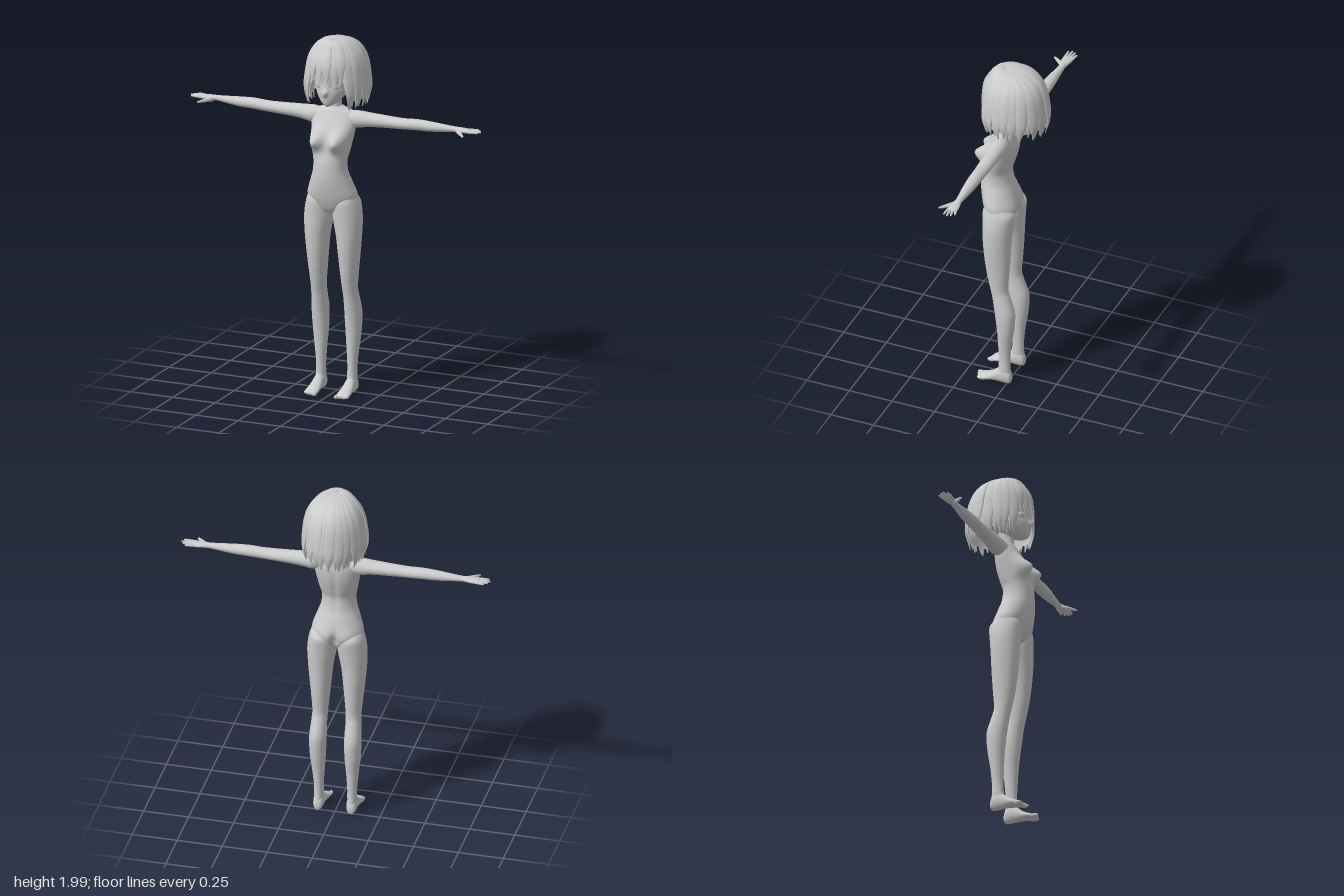
import * as THREE from 'three';

const skin = new THREE.MeshStandardMaterial({ color: 0xcccccc });
const thin = new THREE.MeshStandardMaterial({ color: 0xcccccc, side: THREE.DoubleSide });
const V = (x, y, z) => new THREE.Vector3(x, y, z);
const gauss = (d, w) => Math.exp(-(d * d) / (w * w));
const TAU = Math.PI * 2;

// Skins a list of closed rings; capped ends, faces turned outward.
function skinRings(rings, capped = true) {
  const n = rings[0].length, pos = [], idx = [];
  rings.forEach(r => r.forEach(p => pos.push(p.x, p.y, p.z)));
  for (let i = 0; i < rings.length - 1; i++) for (let j = 0; j < n; j++) {
    const a = i * n + j, b = i * n + (j + 1) % n;
    idx.push(a, b, a + n, b, b + n, a + n);
  }
  if (capped) [0, rings.length - 1].forEach(i => {
    const c = rings[i].reduce((s, p) => s.add(p), V(0, 0, 0)).divideScalar(n), k = pos.length / 3;
    pos.push(c.x, c.y, c.z);
    for (let j = 0; j < n; j++) {
      const a = i * n + j, b = i * n + (j + 1) % n;
      i ? idx.push(a, b, k) : idx.push(b, a, k);
    }
  });
  let volume = 0;
  const at = i => V(pos[3 * i], pos[3 * i + 1], pos[3 * i + 2]).sub(rings[0][0]);
  for (let i = 0; i < idx.length; i += 3) volume += at(idx[i]).dot(at(idx[i + 1]).cross(at(idx[i + 2])));
  if (volume < 0) idx.reverse();
  const g = new THREE.BufferGeometry();
  g.setAttribute('position', new THREE.Float32BufferAttribute(pos, 3));
  g.setIndex(idx);
  g.computeVertexNormals();
  return g;
}

// Smooth loft through sections [t, aMin, aMax, bMin, bMax]; place(t, a, b) gives the point.
function loft(sections, place, sides = 32, steps = 6) {
  const abc = new THREE.CatmullRomCurve3(sections.map(s => V(s[0], s[1], s[2])));
  const de = new THREE.CatmullRomCurve3(sections.map(s => V(s[3], s[4], 0)));
  const rings = [], count = (sections.length - 1) * steps;
  for (let i = 0; i <= count; i++) {
    const p = abc.getPoint(i / count), q = de.getPoint(i / count), ring = [];
    for (let j = 0; j < sides; j++) {
      const c = Math.cos(j / sides * TAU), s = Math.sin(j / sides * TAU);
      ring.push(place(p.x, (p.y + p.z) / 2 + c * (p.z - p.y) / 2, (q.x + q.y) / 2 + s * (q.y - q.x) / 2));
    }
    rings.push(ring);
  }
  return skinRings(rings);
}

function add(group, name, geometry, material = skin) {
  const m = new THREE.Mesh(geometry, material);
  m.name = name;
  group.add(m);
  return m;
}

// Tapered rounded rod for fingers
function rod(from, to, r0, r1) {
  const dir = to.clone().sub(from), len = dir.length();
  const pts = [[0, 0], [r0, 0], [(r0 + r1) / 2, len * 0.5], [r1, len * 0.85], [r1 * 0.65, len * 0.96], [0, len]];
  const g = new THREE.LatheGeometry(pts.map(p => new THREE.Vector2(...p)), 10);
  g.applyQuaternion(new THREE.Quaternion().setFromUnitVectors(V(0, 1, 0), dir.normalize()));
  return g.translate(from.x, from.y, from.z);
}

function buildBody(root) {
  // Torso with soft chest, hip and spine contours
  const sym = ([y, w, b, f]) => [y, -w, w, b, f];
  add(root, 'torso', loft([
    [1.02, 0.03, 0.03, 0.10], [1.035, 0.075, 0, 0.125], [1.07, 0.125, -0.02, 0.145], [1.12, 0.142, -0.03, 0.163],
    [1.2, 0.118, -0.012, 0.18], [1.26, 0.098, 0.008, 0.184], [1.32, 0.094, 0.015, 0.18], [1.38, 0.106, 0, 0.165],
    [1.44, 0.117, -0.016, 0.155], [1.5, 0.126, -0.024, 0.135], [1.55, 0.128, -0.022, 0.105],
    [1.585, 0.112, -0.016, 0.085], [1.602, 0.065, -0.012, 0.075], [1.612, 0.034, -0.008, 0.068]].map(sym),
  (y, x, z) => {
    const ax = Math.abs(x);
    if (z > 0.07) z += 0.062 * gauss(ax - 0.066, 0.042) * gauss(y - 1.435, 0.05) * Math.min(1, (z - 0.07) / 0.04);
    else if (z < 0.05) {
      z += gauss(x, 0.016) * (0.025 * gauss(y - 1.08, 0.05) + 0.008 * gauss(y - 1.4, 0.15));
      z -= 0.012 * gauss(ax - 0.07, 0.045) * gauss(y - 1.09, 0.06);
    }
    return V(x, y, z);
  }, 64));
  add(root, 'neck', loft([[1.57, 0.045, -0.012, 0.072], [1.61, 0.034, -0.008, 0.068], [1.64, 0.033, -0.012, 0.068],
    [1.7, 0.04, -0.02, 0.08]].map(sym), (y, x, z) => V(x, y, z)));

  for (const s of [1, -1]) {
    const side = s > 0 ? 'left' : 'right';
    add(root, side + 'Leg', loft([
      [1.13, 0.03, 0.135, 0, 0.13], [1.08, 0.005, 0.153, -0.036, 0.145], [1.0, 0.004, 0.165, -0.028, 0.142],
      [0.9, 0.022, 0.162, -0.02, 0.138], [0.8, 0.033, 0.153, -0.016, 0.13], [0.7, 0.042, 0.143, -0.01, 0.117],
      [0.6, 0.05, 0.135, -0.004, 0.096], [0.55, 0.052, 0.137, -0.018, 0.084], [0.45, 0.05, 0.144, -0.046, 0.068],
      [0.35, 0.053, 0.14, -0.04, 0.056], [0.25, 0.06, 0.129, -0.025, 0.05], [0.15, 0.066, 0.119, -0.017, 0.047],
      [0.09, 0.066, 0.119, -0.018, 0.05], [0.04, 0.07, 0.116, -0.018, 0.05]], (y, x, z) => V(s * x, y, z)));
    add(root, side + 'Foot', loft([
      [-0.026, 0.083, 0.103, 0.02, 0.045], [-0.018, 0.07, 0.115, 0.004, 0.075], [0.01, 0.063, 0.121, 0, 0.105],
      [0.05, 0.063, 0.122, 0.002, 0.088], [0.09, 0.059, 0.127, 0.004, 0.055], [0.13, 0.055, 0.131, 0, 0.036],
      [0.155, 0.057, 0.13, 0, 0.026], [0.165, 0.065, 0.122, 0.005, 0.018]], (z, x, y) => V(s * x, y, z)));
    // Toes, big one inward
    [0.064, 0.081, 0.096, 0.109, 0.121].forEach((x, i) => {
      const toe = add(root, side + 'Toe', new THREE.SphereGeometry(1, 12, 8));
      toe.scale.set(i ? 0.008 : 0.011, i ? 0.009 : 0.011, 0.022);
      toe.position.set(s * x, 0.011, 0.163 - i * 0.006);
    });
    add(root, side + 'Arm', loft([
      [0.07, 1.53, 1.585, 0, 0.07], [0.12, 1.502, 1.596, -0.016, 0.08], [0.2, 1.513, 1.592, -0.015, 0.073],
      [0.3, 1.52, 1.587, -0.012, 0.068], [0.4, 1.524, 1.584, -0.009, 0.063], [0.48, 1.528, 1.588, -0.01, 0.06],
      [0.56, 1.53, 1.585, -0.006, 0.055], [0.64, 1.538, 1.579, 0, 0.046], [0.7, 1.545, 1.575, 0.003, 0.04],
      [0.73, 1.546, 1.574, -0.002, 0.047], [0.77, 1.547, 1.571, -0.008, 0.052], [0.795, 1.55, 1.568, -0.006, 0.05],
      [0.803, 1.554, 1.564, 0, 0.044]], (x, y, z) => V(s * x, y, z)));
    // Fingers from little (back) to index (front), then the thumb
    [[0.832, -0.012], [0.85, 0.006], [0.86, 0.025], [0.85, 0.046]].forEach(([x, z], i) =>
      add(root, side + 'Finger', rod(V(s * 0.78, 1.559, 0.001 + i * 0.014), V(s * x, 1.561, z), 0.0085, 0.0058)));
    add(root, side + 'Thumb', rod(V(s * 0.725, 1.555, 0.033), V(s * 0.787, 1.547, 0.104), 0.014, 0.0065));
  }
}

function buildHead(root) {
  // Skull and face; the nose is drawn out of the surface
  add(root, 'head', loft([
    [1.632, 0.014, 0.1, 0.145], [1.645, 0.035, 0.06, 0.157], [1.675, 0.066, 0, 0.164], [1.72, 0.093, -0.06, 0.166],
    [1.78, 0.11, -0.1, 0.164], [1.85, 0.12, -0.125, 0.158], [1.92, 0.1, -0.1, 0.125], [1.955, 0.05, -0.05, 0.07]
  ].map(([y, w, b, f]) => [y, -w, w, b, f]), (y, x, z) => {
    if (z > 0.06) {
      z += 0.02 * gauss(x, 0.013) * gauss(y - 1.712, 0.02);
      z -= 0.009 * gauss(Math.abs(x) - 0.05, 0.026) * gauss(y - 1.75, 0.025);
    }
    return V(x, y, z);
  }, 72, 8));
  for (const s of [1, -1]) {
    const side = s > 0 ? 'left' : 'right';
    const eye = add(root, side + 'Eye', new THREE.SphereGeometry(1, 24, 16));
    eye.scale.set(0.026, 0.021, 0.011);
    eye.position.set(s * 0.05, 1.749, 0.139);
    eye.rotation.y = s * 0.4;
    const arc = (y, bow) => new THREE.TubeGeometry(new THREE.QuadraticBezierCurve3(
      V(s * 0.022, y, 0.159), V(s * 0.05, y + bow, 0.165), V(s * 0.083, y - 0.003, 0.126)), 14, 0.0028, 6);
    add(root, side + 'UpperLash', arc(1.759, 0.026));
    add(root, side + 'LowerLid', arc(1.738, -0.016));
    add(root, side + 'Brow', arc(1.79, 0.014));
  }
  add(root, 'mouth', new THREE.TubeGeometry(new THREE.QuadraticBezierCurve3(
    V(-0.014, 1.678, 0.162), V(0, 1.675, 0.167), V(0.014, 1.678, 0.162)), 10, 0.002, 6));
}

// Hair outline from crown to hem as (spread, height)
const outline = new THREE.CatmullRomCurve3([[0, 1.985], [0.38, 1.978], [0.7, 1.935], [0.89, 1.865], [0.97, 1.78],
  [1.02, 1.7], [0.95, 1.62]].map(p => V(p[0], p[1], 0)));

function hairPoint(a, u, lift = 1) {
  const p = outline.getPoint(Math.min(u, 1)), s = p.x * lift, c = Math.cos(a);
  return V(0.166 * s * Math.sin(a), p.y, 0.06 * (1 - Math.min(1, p.x / 0.7)) + c * s * (c > 0 ? 0.176 : 0.186));
}

// Short fringe over the face, full length at the sides and back
const hemAt = a => THREE.MathUtils.lerp(0.69, 0.97, THREE.MathUtils.smoothstep(Math.abs(a), 0.55, 0.85));

function lock(angle, drift, end, halfAngle, lift, thick) {
  const rings = [];
  for (let i = 0; i <= 20; i++) {
    const t = i / 20, u = 0.02 + t * (end - 0.02), a = angle + drift * t * t;
    const p = hairPoint(a, u, lift * (1 + 0.03 * Math.sin(t * Math.PI)));
    const across = hairPoint(a + 0.02, u).sub(hairPoint(a - 0.02, u)).normalize();
    const along = hairPoint(a, Math.min(1, u + 0.02)).sub(hairPoint(a, u - 0.02)).normalize();
    const out = across.clone().cross(along).normalize();
    const taper = 1 - 0.9 * Math.pow(THREE.MathUtils.smoothstep(t, 0.6, 1.05), 1.3);
    const w = (0.004 + outline.getPoint(u).x * 0.176 * halfAngle) * taper, h = thick * (0.3 + 0.7 * t) * taper;
    rings.push(Array.from({ length: 10 }, (_, j) => p.clone()
      .addScaledVector(across, w * Math.cos(j / 10 * TAU)).addScaledVector(out, h * Math.sin(j / 10 * TAU))));
  }
  return skinRings(rings);
}

function buildHair(root) {
  const hair = new THREE.Group();
  hair.name = 'hair';
  root.add(hair);
  let seed = 7;
  const rand = () => (seed = (seed * 16807) % 2147483647) / 2147483647 - 0.5;
  // Under-layer following the hem
  const rings = [];
  for (let i = 0; i <= 24; i++) rings.push(Array.from({ length: 64 }, (_, j) => {
    const a = (j / 64 - 0.5) * TAU;
    return hairPoint(a, 0.01 + i / 24 * (hemAt(a) - 0.07), 0.95);
  }));
  add(hair, 'hairCap', skinRings(rings, false), thin);
  // Two staggered layers of tapering locks
  for (const [count, lift, thick] of [[30, 0.97, 0.012], [23, 1.01, 0.013]])
    for (let k = 0; k < count; k++) {
      const a = ((k + 0.5) / count - 0.5) * TAU + rand() * 0.06;
      const end = Math.min(1, hemAt(a) + 0.02 + rand() * 0.07);
      add(hair, 'hairLock', lock(a, rand() * 0.2, end, Math.PI / count * 1.3, lift + rand() * 0.04, thick));
    }
  // Long locks framing the face
  for (const s of [1, -1]) for (const a of [0.72, 0.86])
    add(hair, 'sideLock', lock(s * a, s * 0.08, 0.97, 0.1, 1, 0.012));
}

export function createModel() {
  const root = new THREE.Group();
  root.name = 'figure';
  buildBody(root);
  buildHead(root);
  buildHair(root);
  return root;
}
